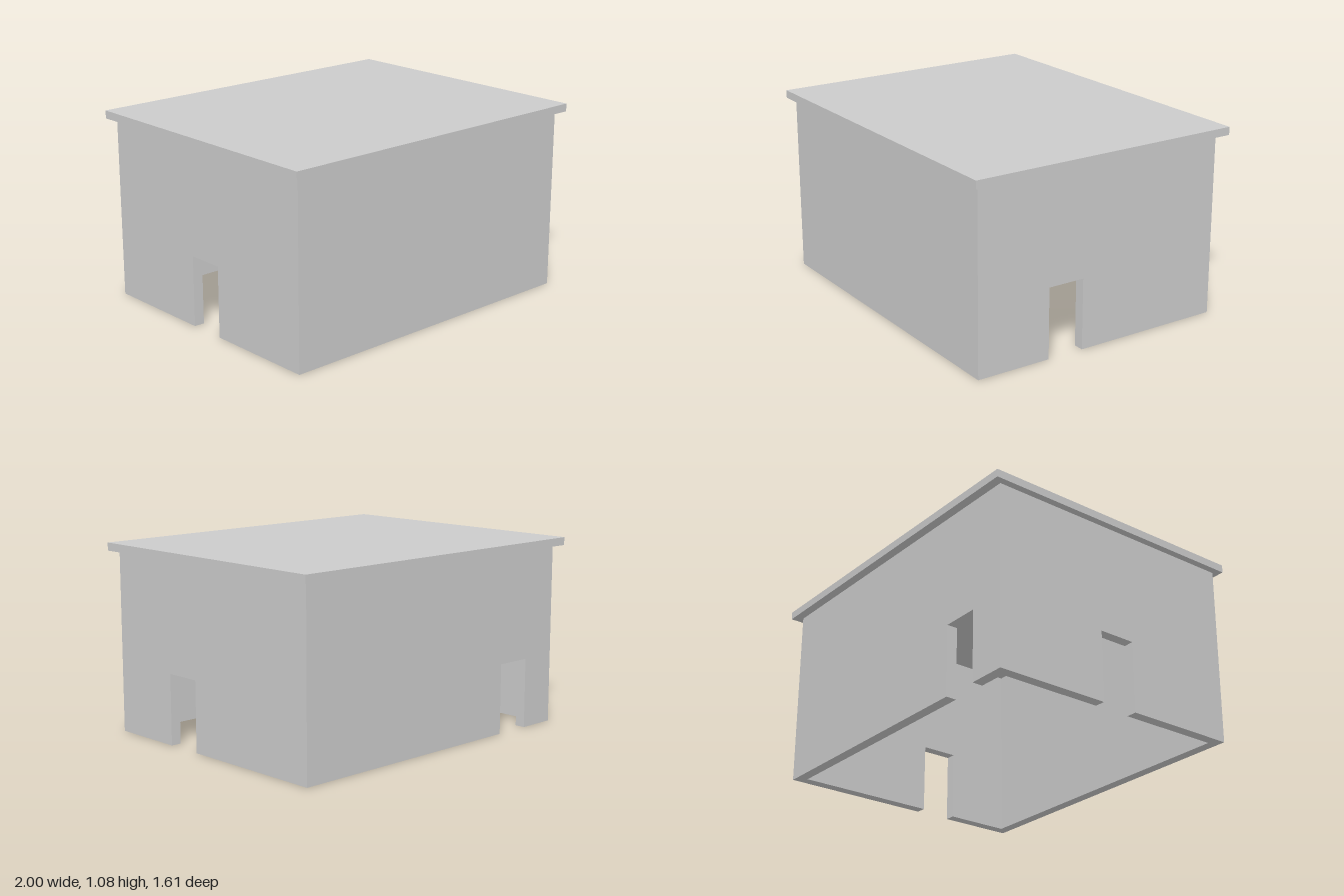
import * as THREE from 'three';

const X0 = -0.96, X1 = 0.95;   // outer wall faces
const Z0 = -0.755, Z1 = 0.765;
const WALL_H = 1.03, T = 0.06, DOOR_H = 0.4;
const ROOF_H = 0.045, ROOF_D = 1.61;

const material = new THREE.MeshStandardMaterial({ color: 0xcccccc, flatShading: true });

// Upright wall from a to b, with an optional doorway cut up from its bottom edge
function wall(name, a, b, door) {
  const s = new THREE.Shape();
  s.moveTo(a, 0);
  if (door) {
    const [d0, d1] = door;
    s.lineTo(d0, 0).lineTo(d0, DOOR_H).lineTo(d1, DOOR_H).lineTo(d1, 0);
  }
  s.lineTo(b, 0).lineTo(b, WALL_H).lineTo(a, WALL_H).closePath();
  const mesh = new THREE.Mesh(
    new THREE.ExtrudeGeometry(s, { depth: T, bevelEnabled: false }), material);
  mesh.name = name;
  return mesh;
}

export function createModel() {
  const model = new THREE.Group();
  model.name = 'hut';

  // Front and back walls run the full width
  const front = wall('frontWall', X0, X1);
  front.position.z = Z1 - T;
  const back = wall('backWall', X0, X1, [-0.74, -0.525]);
  back.position.z = Z0;

  // Side walls fit between them; turned so the wall's length follows z
  const left = wall('leftWall', Z0 + T, Z1 - T, [0.115, 0.33]);
  left.rotation.y = -Math.PI / 2;
  left.position.x = X1;
  const right = wall('rightWall', Z0 + T, Z1 - T, [-0.095, 0.12]);
  right.rotation.y = -Math.PI / 2;
  right.position.x = X0 + T;

  // Flat overhanging roof slab
  const roof = new THREE.Mesh(new THREE.BoxGeometry(2, ROOF_H, ROOF_D), material);
  roof.name = 'roof';
  roof.position.y = WALL_H + ROOF_H / 2;

  model.add(front, back, left, right, roof);
  return model;
}
